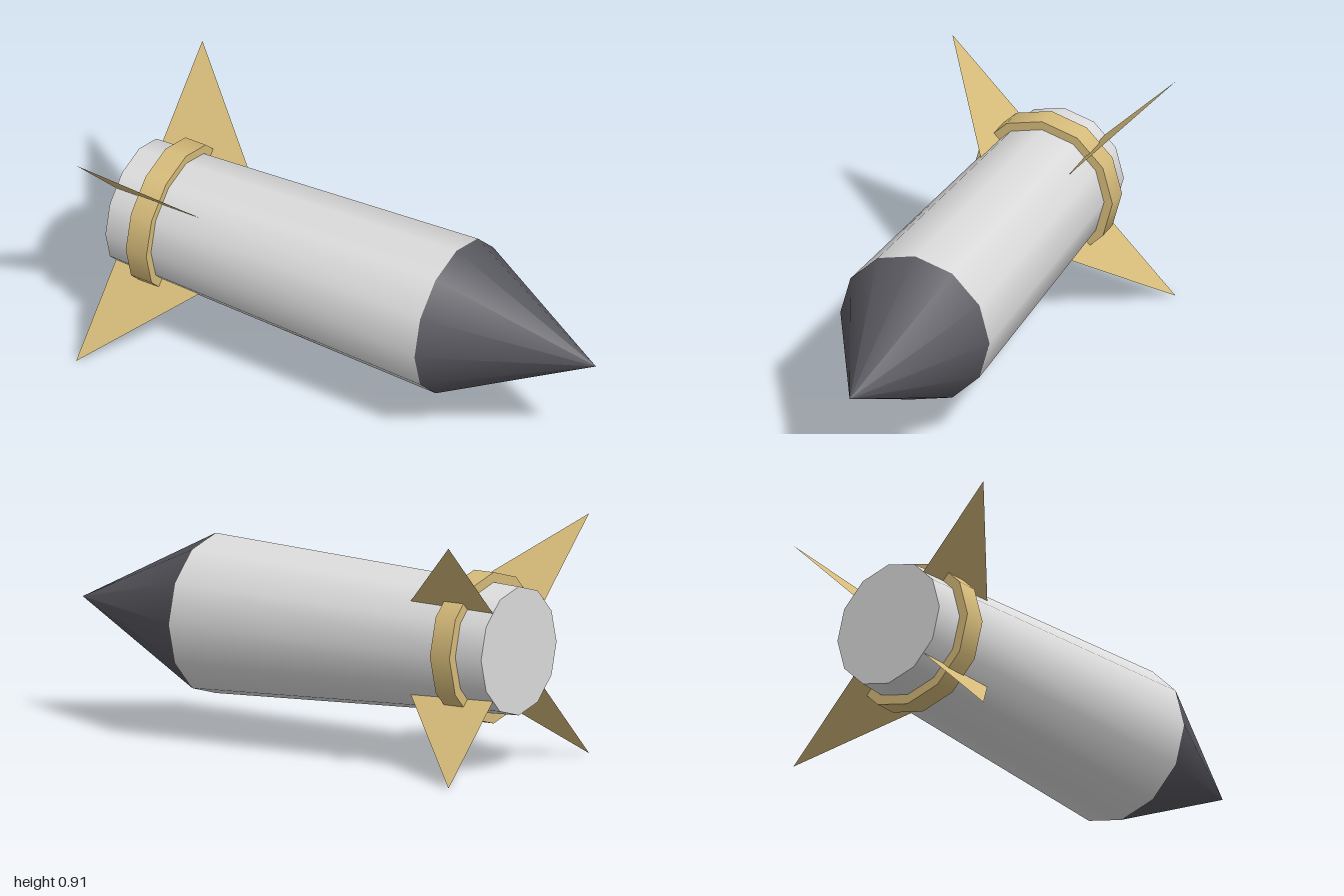
import * as THREE from 'three';

const AXIS_Y = 0.457;
const SIDES = 12;

export function createModel() {
  const model = new THREE.Group();
  model.name = 'rocket';

  const white = new THREE.MeshStandardMaterial({ color: 0xdcdcdc });
  white.name = 'paleGrey';
  const dark = new THREE.MeshStandardMaterial({ color: 0x57575e });
  dark.name = 'darkGrey';
  const gold = new THREE.MeshStandardMaterial({ color: 0xd6bb7a, side: THREE.DoubleSide });
  gold.name = 'gold';

  // Twelve-sided section lying along x, from x0 to x1
  function section(name, x0, r0, x1, r1, material) {
    const geometry = new THREE.CylinderGeometry(r1, r0, x1 - x0, SIDES);
    geometry.rotateZ(-Math.PI / 2);
    const mesh = new THREE.Mesh(geometry, material);
    mesh.name = name;
    mesh.position.set((x0 + x1) / 2, AXIS_Y, 0);
    model.add(mesh);
  }

  section('body', -1, 0.245, 0.39, 0.305, white);
  section('tailBand', -0.885, 0.288, -0.795, 0.288, gold);

  // Nose cone
  const cone = new THREE.ConeGeometry(0.305, 0.61, SIDES);
  cone.rotateZ(-Math.PI / 2);
  const nose = new THREE.Mesh(cone, dark);
  nose.name = 'noseCone';
  nose.position.set(0.695, AXIS_Y, 0);
  model.add(nose);

  // Four paper-thin diagonal fins rooted on the hull
  const finShape = new THREE.Shape([
    new THREE.Vector2(-1, 0.236),
    new THREE.Vector2(-0.63, 0.252),
    new THREE.Vector2(-1, 0.646),
  ]);
  const finGeometry = new THREE.ShapeGeometry(finShape);
  for (let i = 0; i < 4; i++) {
    const fin = new THREE.Mesh(finGeometry, gold);
    fin.name = 'fin' + (i + 1);
    fin.position.y = AXIS_Y;
    fin.rotation.x = Math.PI / 4 + (i * Math.PI) / 2;
    model.add(fin);
  }

  return model;
}
